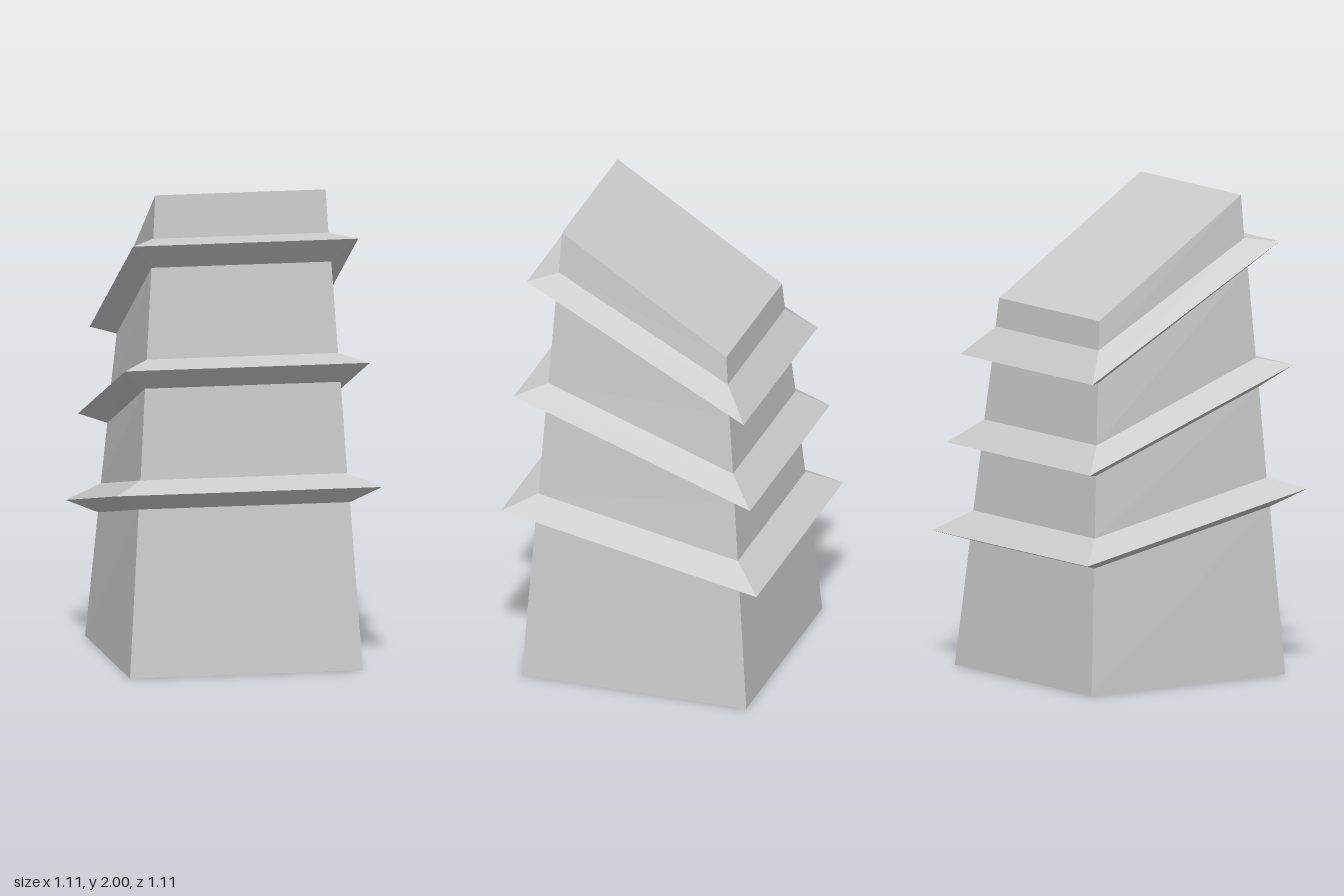
import * as THREE from 'three';

const material = new THREE.MeshStandardMaterial({ color: 0xcccccc, flatShading: true });

// Square cross-section, tilted down towards the back: [half width, front y, back y]
const corners = ([h, front, back]) => [
  [h, front, h], [h, back, -h], [-h, back, -h], [-h, front, h],
];

// Skin a run of square cross-sections, optionally closing either end
function loft(name, rings, { capBottom = false, capTop = false } = {}) {
  const positions = [];
  const quad = (a, b, c, d) => positions.push(...a, ...b, ...c, ...a, ...c, ...d);
  const loops = rings.map(corners);
  for (let i = 0; i < loops.length - 1; i++) {
    for (let j = 0; j < 4; j++) {
      const k = (j + 1) % 4;
      quad(loops[i][j], loops[i][k], loops[i + 1][k], loops[i + 1][j]);
    }
  }
  if (capBottom) quad(...[...loops[0]].reverse());
  if (capTop) quad(...loops[loops.length - 1]);

  const geometry = new THREE.BufferGeometry();
  geometry.setAttribute('position', new THREE.Float32BufferAttribute(positions, 3));
  geometry.computeVertexNormals();
  const mesh = new THREE.Mesh(geometry, material);
  mesh.name = name;
  return mesh;
}

export function createModel() {
  const group = new THREE.Group();
  group.name = 'slantedTower';

  const base = [0.489, 0, 0];
  const top = [0.358, 2, 1.54];

  // Each ridge: lower root, outer edge, upper root
  const ridges = [
    [[0.444, 0.70, 0.525], [0.557, 0.78, 0.56], [0.434, 0.82, 0.648]],
    [[0.411, 1.20, 0.905], [0.514, 1.295, 0.93], [0.402, 1.32, 1.03]],
    [[0.378, 1.70, 1.285], [0.473, 1.81, 1.30], [0.368, 1.82, 1.42]],
  ];

  // Tapered body sections alternate with the flared ridges
  let below = base;
  ridges.forEach((ridge, i) => {
    group.add(loft(`bodySection${i + 1}`, [below, ridge[0]], { capBottom: i === 0 }));
    group.add(loft(`ridge${i + 1}`, ridge));
    below = ridge[2];
  });

  // Slanted top block
  group.add(loft('topSection', [below, top], { capTop: true }));
  return group;
}
